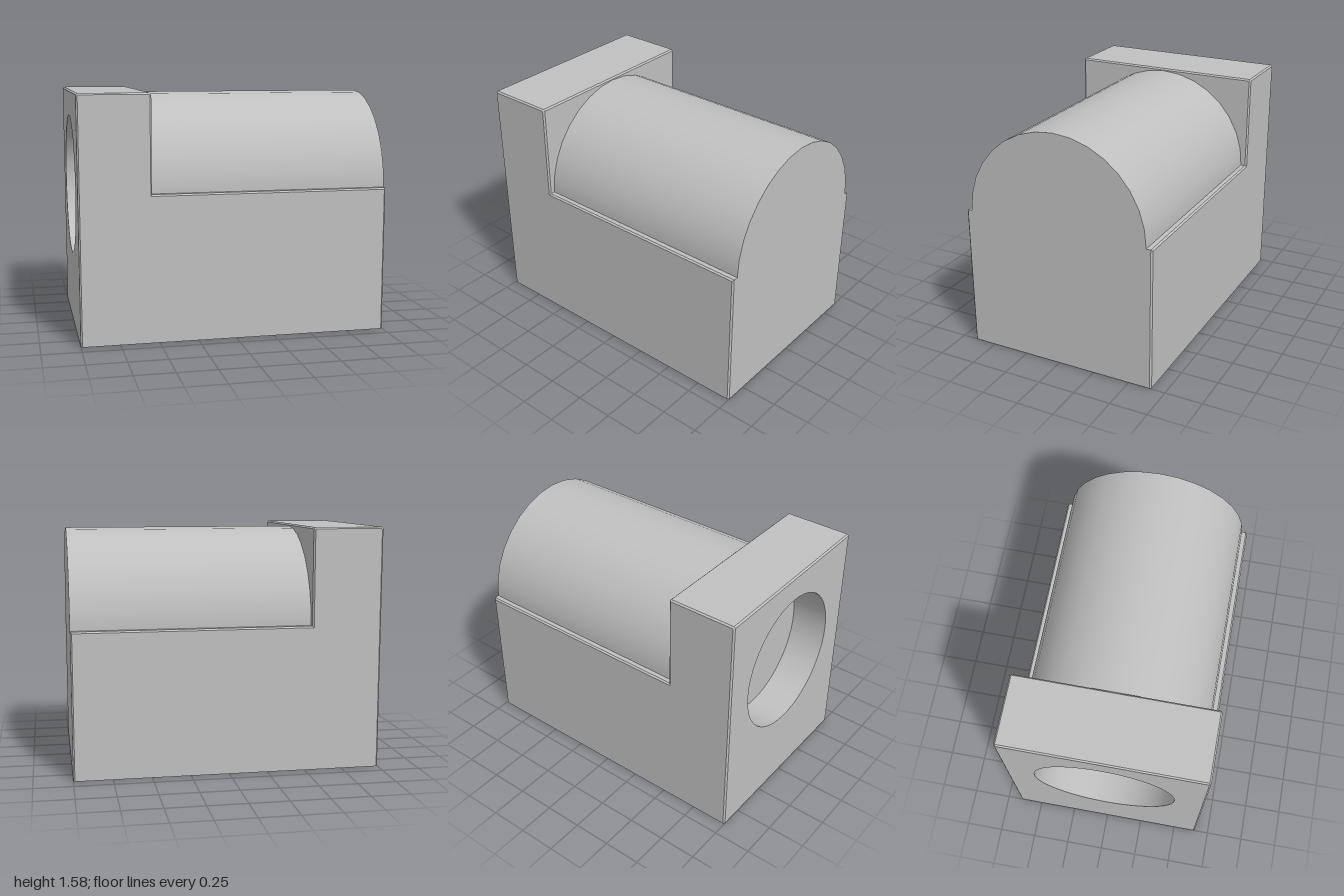
import * as THREE from 'three';

const grey = new THREE.MeshStandardMaterial({ color: 0xc0c0c0, side: THREE.DoubleSide });
grey.name = 'plain grey';

const HALF_DEPTH = 0.655, HEIGHT = 1.58, LEDGE = 0.95, STEP = -0.54;
const BARREL_R = 0.615, HOLE_R = 0.463, HOLE_DEPTH = 0.245, EDGE = 0.01;

const polygon = pts => new THREE.Shape(pts.map(p => new THREE.Vector2(...p)));

// Stepped body with finely chamfered edges, a flat foot and an open left end
function bodyGeometry() {
  const profile = polygon([
    [-1, 0], [1, 0], [1, LEDGE], [STEP, LEDGE],
    [STEP, HEIGHT - EDGE], [STEP - EDGE, HEIGHT], [-1 + EDGE, HEIGHT], [-1, HEIGHT - EDGE],
  ]);
  const depth = 2 * (HALF_DEPTH - EDGE);
  const source = new THREE.ExtrudeGeometry(profile, {
    depth, bevelEnabled: true, bevelSegments: 1,
    bevelSize: EDGE, bevelThickness: EDGE, bevelOffset: -EDGE,
  });
  source.translate(0, 0, -depth / 2);
  const p = source.attributes.position;
  const kept = [];
  for (let i = 0; i < p.count; i += 3) {
    const tri = [i, i + 1, i + 2];
    // the left end is closed by the pierced plate instead
    if (tri.every(k => p.getX(k) < -0.9999)) continue;
    // the underside keeps square edges
    for (const k of tri) kept.push(p.getX(k), p.getY(k) < EDGE * 1.5 ? 0 : p.getY(k), p.getZ(k));
  }
  const geometry = new THREE.BufferGeometry();
  geometry.setAttribute('position', new THREE.Float32BufferAttribute(kept, 3));
  geometry.computeVertexNormals();
  return geometry;
}

// Left end face with the round opening
function endFaceGeometry() {
  const w = HALF_DEPTH - EDGE, h = HEIGHT - EDGE;
  const face = polygon([[-w, 0], [w, 0], [w, h], [-w, h]]);
  face.holes.push(new THREE.Path().absarc(0, LEDGE, HOLE_R, 0, Math.PI * 2, true));
  return new THREE.ShapeGeometry(face, 24).rotateY(-Math.PI / 2).translate(-1, 0, 0);
}

export function createModel() {
  const group = new THREE.Group();
  group.name = 'steppedBlock';
  const add = (name, geometry) => {
    const mesh = new THREE.Mesh(geometry, grey);
    mesh.name = name;
    group.add(mesh);
  };

  add('body', bodyGeometry());
  add('endFace', endFaceGeometry());

  // Half-round barrel lying on the ledge
  const length = 1 - STEP;
  add('barrel', new THREE.CylinderGeometry(BARREL_R, BARREL_R, length, 16, 1, false, Math.PI, Math.PI)
    .rotateZ(-Math.PI / 2).translate(STEP + length / 2, LEDGE, 0));

  // Blind bore: wall and floor
  add('boreWall', new THREE.CylinderGeometry(HOLE_R, HOLE_R, HOLE_DEPTH, 48, 1, true)
    .rotateZ(-Math.PI / 2).translate(-1 + HOLE_DEPTH / 2, LEDGE, 0));
  add('boreFloor', new THREE.CircleGeometry(HOLE_R, 48)
    .rotateY(-Math.PI / 2).translate(-1 + HOLE_DEPTH, LEDGE, 0));

  return group;
}
